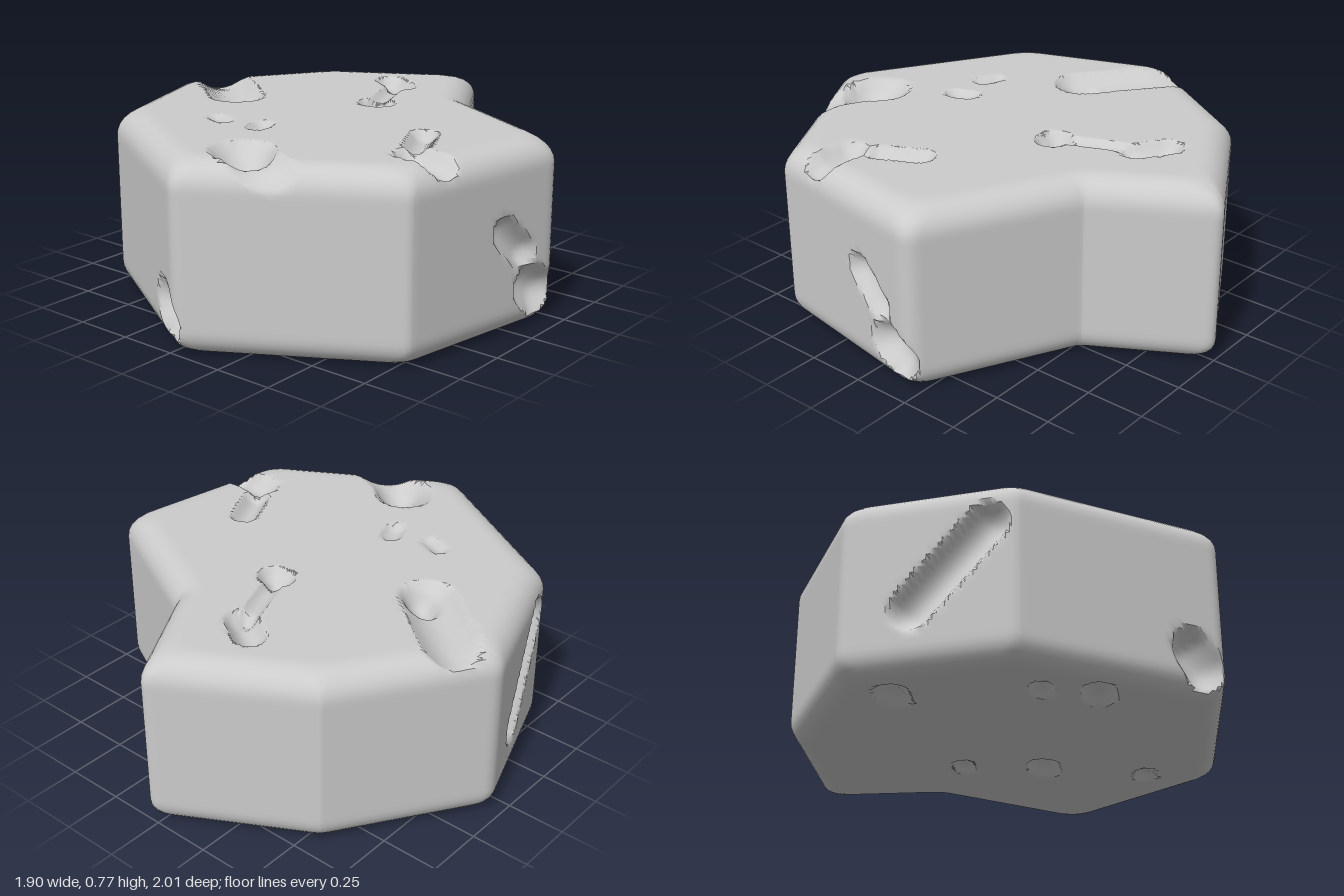
import * as THREE from 'three';
import { toCreasedNormals } from 'three/addons/utils/BufferGeometryUtils.js';

const HEIGHT = 0.77;
const V2 = (x, z) => new THREE.Vector2(x, z);
const V3 = (x, y, z) => new THREE.Vector3(x, y, z);

// Plan of the slab, x / z / corner rounding, clockwise seen from above
const CORNERS = [
  [0.03, -1.02, 0.045], [0.30, -0.56, 0.005], [0.95, -0.235, 0.06], [0.815, 0.565, 0.025],
  [0.04, 1.015, 0.04], [-0.73, 0.565, 0.025], [-0.965, -0.08, 0.04], [-0.575, -0.675, 0.01],
];
const COUNT = CORNERS.length;
const BASE = CORNERS.map(([x, z]) => V2(x, z));
const INWARD = BASE.map((p, i) => {
  const d = BASE[(i + 1) % COUNT].clone().sub(p).normalize();
  return V2(-d.y, d.x);
});

// A dent is a line segment, a reach around it, and a direction to press in
const dents = [];
const dent = (start, end, push, radius, depth) =>
  dents.push({ line: new THREE.Line3(start, end), push, radius, depth });

const topDent = (x, z, dx, dz, r, depth = r * 0.75) =>
  dent(V3(x, HEIGHT, z), V3(x + dx, HEIGHT, z + dz), V3(0, -1, 0), r, depth);
const bottomDent = (x, z, r) =>
  dent(V3(x - r / 2, 0, z), V3(x + r / 2, 0, z - r / 2), V3(0, 1, 0), r, r * 0.6);
// Placed on a side by its number, the fraction along it, and the height
const sideDent = (side, t, y, r, dt = 0, dy = 0) => {
  const at = (f, h) => {
    const p = BASE[side].clone().lerp(BASE[(side + 1) % COUNT], f);
    return V3(p.x, h, p.y);
  };
  const n = INWARD[side];
  dent(at(t, y), at(t + dt, y + dy), V3(n.x, 0, n.y), r, r * 0.8);
};

// Top: shallow valleys first, then pits
topDent(-0.78, -0.16, 0.28, 0.22, 0.12, 0.06);
topDent(-0.06, -0.50, 0.10, 0.26, 0.045, 0.025);
topDent(0.18, 0.74, 0.18, 0.08, 0.11, 0.04);
topDent(0.66, 0.34, 0.14, 0.02, 0.08);
topDent(-0.50, 0.03, 0.03, 0.02, 0.07);
topDent(-0.17, -0.62, 0.11, 0.07, 0.07);
topDent(0.04, -0.22, 0.03, 0, 0.07);
topDent(0.52, 0.08, 0.08, 0.16, 0.06);
topDent(0.12, 0.70, 0.02, 0.02, 0.13, 0.07);
topDent(-0.31, 0.39, 0.07, 0.03, 0.04, 0.02);
topDent(-0.08, 0.36, 0.02, 0.05, 0.05, 0.025);

// Underside
bottomDent(0.26, 0.05, 0.07);
bottomDent(0.05, -0.23, 0.05);
bottomDent(-0.71, 0, 0.07);
bottomDent(-0.43, 0.49, 0.05);
bottomDent(-0.27, 0.65, 0.07);
bottomDent(0.58, 0.36, 0.05);

// Sides: long gouges, then pits
sideDent(5, 0.16, 0.58, 0.09, 0.44, -0.33);
sideDent(4, 0.15, 0.18, 0.10, -0.05, -0.06);
sideDent(2, 0.37, 0.43, 0.07, -0.14, -0.11);
sideDent(2, 0.17, 0.17, 0.10, -0.07, -0.04);
sideDent(4, 0.18, 0.28, 0.05);
sideDent(4, 0.44, 0.39, 0.035);
sideDent(2, 0.59, 0.50, 0.035);
sideDent(3, 0.32, 0.31, 0.045);
sideDent(3, 0.20, 0.235, 0.03);
sideDent(0, 0.50, 0.30, 0.05);
sideDent(1, 0.25, 0.18, 0.05);
sideDent(1, 0.50, 0.18, 0.05);
sideDent(7, 0.27, 0.34, 0.055);
sideDent(7, 0, 0.09, 0.06);
sideDent(7, 0.50, 0.72, 0.08);

// Outline moved inward by a constant distance, with rounded corners
function outline(inset) {
  const pts = BASE.map((p, i) => {
    const a = INWARD[(i + COUNT - 1) % COUNT], b = INWARD[i];
    return a.clone().add(b).multiplyScalar(inset / (1 + a.dot(b))).add(p);
  });
  const toward = (p, q, d) => q.clone().sub(p).setLength(d).add(p);
  const cut = (i) => CORNERS[i][2] + inset * 0.6;
  const ring = [];
  pts.forEach((p, i) => {
    const j = (i + 1) % COUNT;
    const out = toward(p, pts[j], cut(i));
    const start = toward(p, pts[(i + COUNT - 1) % COUNT], cut(i));
    ring.push(...new THREE.QuadraticBezierCurve(start, p, out).getPoints(6).slice(0, 6));
    const end = toward(pts[j], p, cut(j));
    for (let k = 0; k < 40; k++) ring.push(out.clone().lerp(end, k / 40));
  });
  return ring;
}

function slabGeometry() {
  // Rings from the underside centre, up the side, to the top centre
  const rings = [];
  const addRing = (inset, y, scale = 1) =>
    rings.push(outline(inset).map((p) => V3(p.x * scale, y, p.y * scale)));
  const CAP = 44, BEVEL = 7, SIDE = 24;
  const low = { inset: 0.09, h: 0.1 }, high = { inset: 0.115, h: 0.11 };
  for (let k = 0; k < CAP; k++) addRing(low.inset, 0, k / CAP);
  for (let k = 0; k < BEVEL; k++) {
    const t = (k / BEVEL) * Math.PI / 2;
    addRing(low.inset * (1 - Math.sin(t)), low.h * (1 - Math.cos(t)));
  }
  for (let k = 0; k < SIDE; k++) addRing(0, THREE.MathUtils.lerp(low.h, HEIGHT - high.h, k / SIDE));
  for (let k = 0; k < BEVEL; k++) {
    const t = (k / BEVEL) * Math.PI / 2;
    addRing(high.inset * (1 - Math.cos(t)), HEIGHT - high.h * (1 - Math.sin(t)));
  }
  for (let k = CAP; k >= 0; k--) addRing(high.inset, HEIGHT, k / CAP);

  // Press the dents into the surface
  const near = V3(0, 0, 0);
  const positions = [];
  for (const ring of rings) for (const p of ring) {
    const moved = p.clone();
    for (const { line, push, radius, depth } of dents) {
      line.closestPointToPoint(p, true, near);
      const d = near.distanceTo(p) / radius;
      if (d < 1) moved.addScaledVector(push, depth * (1 - d * d));
    }
    positions.push(moved.x, moved.y, moved.z);
  }

  const n = rings[0].length, last = rings.length - 2;
  const index = [];
  for (let j = 0; j <= last; j++) for (let i = 0; i < n; i++) {
    const a = j * n + i, b = j * n + (i + 1) % n, c = b + n, d = a + n;
    if (j < last) index.push(a, d, c);
    if (j > 0) index.push(a, c, b);
  }
  const geometry = new THREE.BufferGeometry();
  geometry.setAttribute('position', new THREE.Float32BufferAttribute(positions, 3));
  geometry.setIndex(index);
  return toCreasedNormals(geometry, 0.6);
}

export function createModel() {
  const model = new THREE.Group();
  model.name = 'stoneSlab';
  const stone = new THREE.Mesh(slabGeometry(), new THREE.MeshStandardMaterial({ color: 0xcccccc }));
  stone.name = 'pittedStone';
  model.add(stone);
  return model;
}
